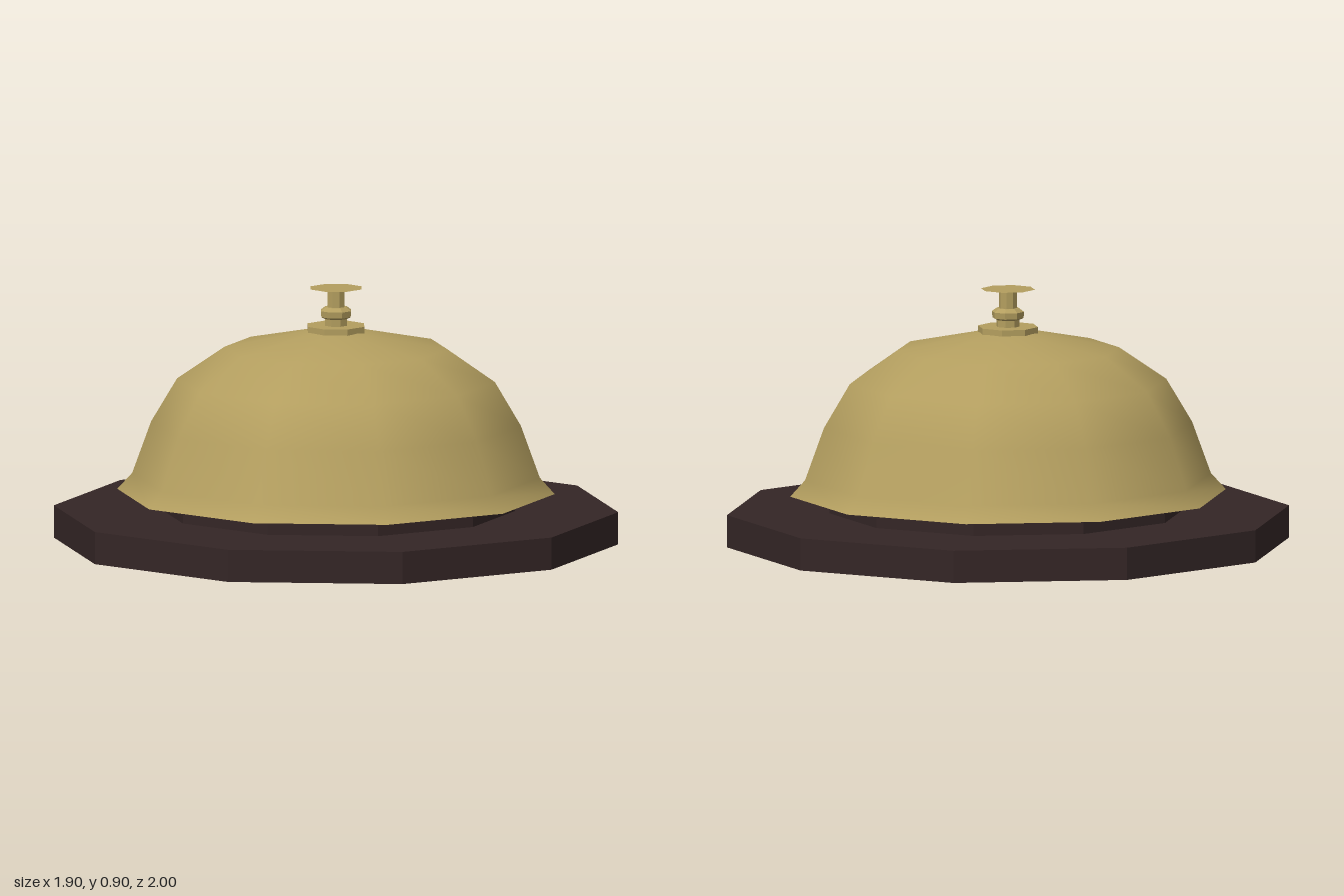
import * as THREE from 'three';

const SIDES = 10;

export function createModel() {
  const model = new THREE.Group();
  model.name = 'deskBell';

  const brass = new THREE.MeshStandardMaterial({ color: 0xb39e5f, side: THREE.DoubleSide });
  brass.name = 'brass';
  const darkWood = new THREE.MeshStandardMaterial({ color: 0x342626, side: THREE.DoubleSide });
  darkWood.name = 'darkWood';

  // Turns a [radius, y] profile around the y axis, smooth or faceted
  function turned(name, profile, sides, material, faceted) {
    let geometry = new THREE.LatheGeometry(profile.map(([r, y]) => new THREE.Vector2(r, y)), sides);
    if (faceted) {
      geometry = geometry.toNonIndexed();
      geometry.computeVertexNormals();
    }
    const mesh = new THREE.Mesh(geometry, material);
    mesh.name = name;
    model.add(mesh);
  }

  // Base: open underneath, with a central hole and a collar rising into the dome
  turned('base', [[1, 0], [1, 0.115], [0.635, 0.115]], SIDES, darkWood, true);
  turned('collar', [[0.635, 0.115], [0.635, 0.27]], SIDES, darkWood, true);

  // Hollow dome with a flared lip
  turned('dome', [
    [0.775, 0.177], [0.722, 0.235], [0.655, 0.42], [0.563, 0.575], [0.395, 0.69], [0.1, 0.752], [0, 0.76],
  ], SIDES, brass, false);

  // Plunger: washer, neck, rounded nut, stem and thin push plate
  turned('washer', [[0.108, 0.748], [0.108, 0.772], [0.03, 0.772]], 8, brass, true);
  turned('neck', [[0.042, 0.772], [0.042, 0.798]], 8, brass, true);
  turned('nut', [
    [0.035, 0.793], [0.056, 0.803], [0.058, 0.825], [0.04, 0.838], [0.03, 0.838],
  ], 8, brass, true);
  turned('stem', [[0.032, 0.838], [0.032, 0.903]], 8, brass, true);
  turned('pushPlate', [[0.097, 0.905], [0, 0.905]], 8, brass, true);

  return model;
}
